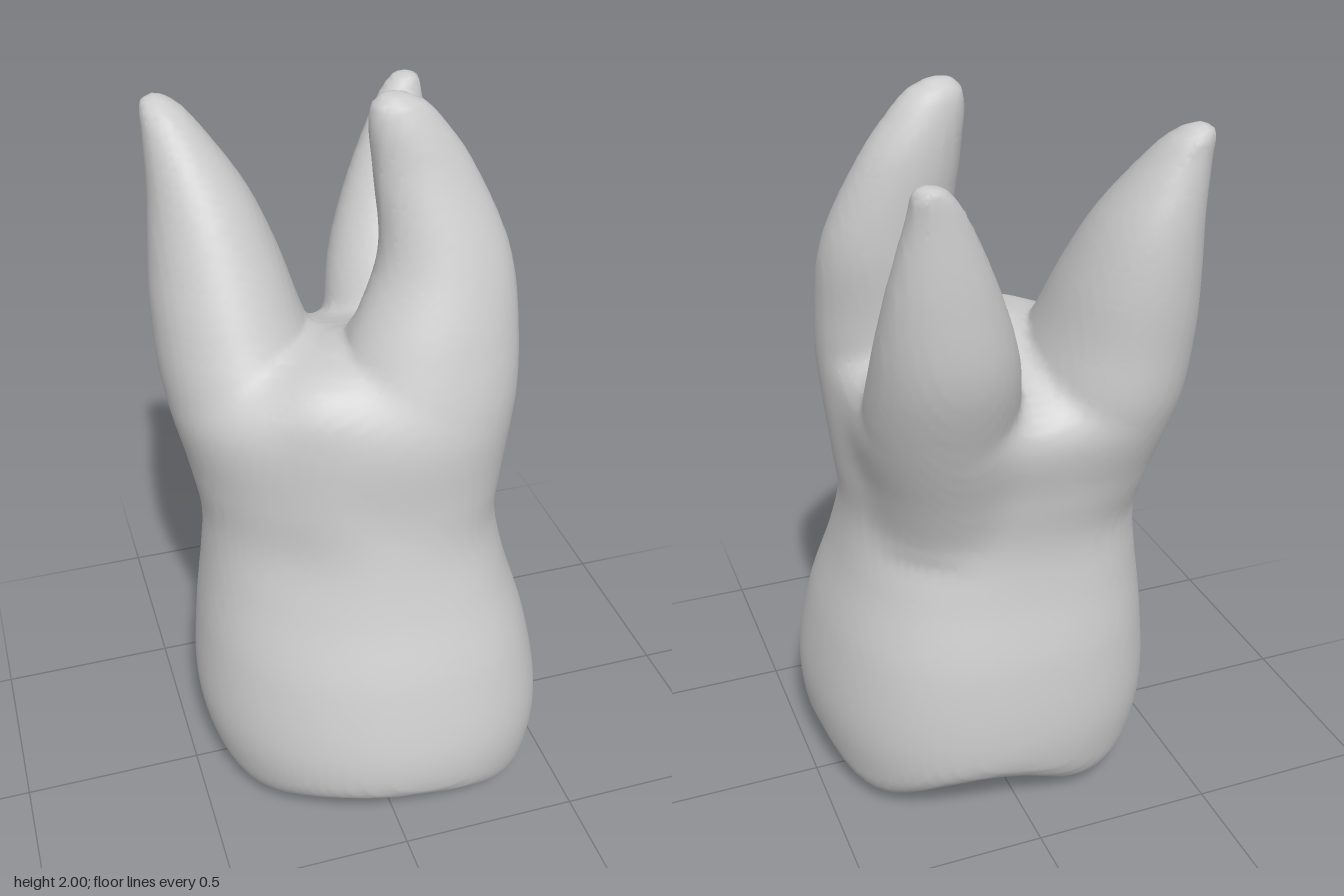
import * as THREE from 'three';

const material = new THREE.MeshStandardMaterial({ color: 0xcccccc, roughness: 0.7 });

// Catmull-Rom interpolation of one scalar
function cubic(a, b, c, d, t) {
  return b + 0.5 * t * (c - a + t * (2 * a - 5 * b + 4 * c - d + t * (3 * (b - c) + d - a)));
}

// Smoothly resample a table of section rows
function refine(rows, steps) {
  const out = [];
  const at = (i) => rows[Math.min(Math.max(i, 0), rows.length - 1)];
  for (let i = 0; i < rows.length - 1; i++) {
    for (let k = 0; k < steps; k++) {
      out.push(rows[i].map((v, n) => cubic(at(i - 1)[n], v, at(i + 1)[n], at(i + 2)[n], k / steps)));
    }
  }
  out.push(rows[rows.length - 1]);
  return out;
}

// The section of a refined table at height y
function sectionAt(rows, y) {
  if (y <= rows[0][0]) return rows[0];
  const i = rows.findIndex((row) => row[0] > y);
  if (i < 0) return rows[rows.length - 1];
  const t = (y - rows[i - 1][0]) / (rows[i][0] - rows[i - 1][0]);
  return rows[i].map((v, n) => THREE.MathUtils.lerp(rows[i - 1][n], v, t));
}

// Minimum with a rounded transition of width k
function smoothMin(a, b, k) {
  const h = Math.max(k - Math.abs(a - b), 0) / k;
  return Math.min(a, b) - h * h * k * 0.25;
}

// Crown, neck and trunk: height, then eight radii from +x towards +z
const TRUNK_TOP = 1.385;
const body = refine([
  [-0.04, 0.425, 0.475, 0.425, 0.4, 0.4, 0.41, 0.375, 0.41],
  [0.1, 0.465, 0.53, 0.48, 0.45, 0.437, 0.45, 0.412, 0.45],
  [0.28, 0.487, 0.55, 0.506, 0.475, 0.468, 0.48, 0.437, 0.472],
  [0.5, 0.457, 0.505, 0.455, 0.435, 0.45, 0.47, 0.42, 0.45],
  [0.7, 0.402, 0.43, 0.38, 0.365, 0.42, 0.443, 0.378, 0.397],
  [0.85, 0.377, 0.385, 0.335, 0.322, 0.406, 0.43, 0.362, 0.365],
  [1.0, 0.383, 0.375, 0.305, 0.315, 0.415, 0.46, 0.38, 0.39],
  [1.18, 0.378, 0.35, 0.285, 0.305, 0.42, 0.48, 0.405, 0.435],
  [1.28, 0.345, 0.28, 0.24, 0.275, 0.33, 0.37, 0.3, 0.355],
  [1.35, 0.2, 0.16, 0.15, 0.19, 0.18, 0.17, 0.12, 0.18],
  [TRUNK_TOP, 0, 0, 0, 0, 0, 0, 0, 0],
], 8);

// Roots: height, centre x, centre z, half width x, half width z
const frontRoot = refine([
  [0.85, 0.1, 0.05, 0.2, 0.2],
  [1.0, 0.11, 0.075, 0.25, 0.215],
  [1.2, 0.14, 0.09, 0.262, 0.215],
  [1.4, 0.187, 0.075, 0.222, 0.175],
  [1.6, 0.223, 0.033, 0.17, 0.138],
  [1.8, 0.182, -0.012, 0.13, 0.098],
  [1.92, 0.137, -0.026, 0.095, 0.07],
  [1.98, 0.112, -0.028, 0.058, 0.043],
  [2.0, 0.1, -0.028, 0, 0],
], 8);
const rightRoot = refine([
  [0.85, -0.2, -0.1, 0.17, 0.18],
  [1.0, -0.23, -0.115, 0.188, 0.24],
  [1.2, -0.255, -0.155, 0.222, 0.285],
  [1.4, -0.29, -0.215, 0.195, 0.24],
  [1.55, -0.306, -0.26, 0.166, 0.2],
  [1.7, -0.33, -0.302, 0.126, 0.15],
  [1.85, -0.378, -0.345, 0.073, 0.082],
  [1.905, -0.402, -0.368, 0.046, 0.05],
  [1.935, -0.412, -0.378, 0, 0],
], 8);
const backRoot = refine([
  [0.85, 0.15, -0.17, 0.14, 0.13],
  [1.0, 0.165, -0.2, 0.165, 0.165],
  [1.2, 0.19, -0.25, 0.192, 0.195],
  [1.4, 0.208, -0.34, 0.18, 0.17],
  [1.6, 0.235, -0.407, 0.136, 0.112],
  [1.8, 0.263, -0.452, 0.07, 0.056],
  [1.87, 0.283, -0.468, 0.038, 0.034],
  [1.89, 0.287, -0.474, 0, 0],
], 8);
const roots = [frontRoot, rightRoot, backRoot];

// Cusps of the chewing surface: x, z, depth below its sunken middle
const cusps = [
  [-0.27, 0.13, 0.167],
  [0.33, 0.27, 0.143],
  [0.365, -0.16, 0.138],
  [-0.2, -0.27, 0.143],
];
function chewingHeight(x, z) {
  return cusps.reduce((y, [cx, cz, depth]) =>
    y - depth * Math.exp(-((x - cx) ** 2 + (z - cz) ** 2) / 0.045), 0.195 - 0.25 * (x * x + z * z));
}

// Signed distance from the outline of the body section
function bodyField(row, x, z) {
  const f = (Math.atan2(z, x) / Math.PI) * 4;
  const i = Math.floor(f);
  const r = (k) => row[1 + ((i + k + 8) % 8)];
  return Math.hypot(x, z) - cubic(r(-1), r(0), r(1), r(2), f - i);
}

// Signed distance from the outline of an elliptical root section
function rootField([, cx, cz, halfX, halfZ], x, z) {
  const rx = Math.max(halfX, 0.002);
  const rz = Math.max(halfZ, 0.002);
  return (Math.hypot((x - cx) / rx, (z - cz) / rz) - 1) * Math.min(rx, rz);
}

// Sampling grid, with x varying fastest, then y, then z
const STEP = 0.02;
const ORIGIN = [-0.56, -0.05, -0.58];
const SIZE = [57, 106, 59];
const STRIDE = [1, SIZE[0], SIZE[0] * SIZE[1]];
const gridPoint = (i, j, k) => i + j * STRIDE[1] + k * STRIDE[2];

// Sample the crown and roots, melted into one solid (negative inside)
function sampleTooth() {
  const field = new Float32Array(SIZE[0] * SIZE[1] * SIZE[2]);
  for (let j = 0; j < SIZE[1]; j++) {
    const y = ORIGIN[1] + j * STEP;
    const trunk = sectionAt(body, y);
    const sections = roots.map((rows) => sectionAt(rows, y));
    for (let k = 0; k < SIZE[2]; k++) {
      for (let i = 0; i < SIZE[0]; i++) {
        const x = ORIGIN[0] + i * STEP;
        const z = ORIGIN[2] + k * STEP;
        let d = Math.max(bodyField(trunk, x, z), y - TRUNK_TOP);
        roots.forEach((rows, n) => {
          const limit = Math.max(rows[0][0] - y, y - rows[rows.length - 1][0]);
          d = smoothMin(d, Math.max(rootField(sections[n], x, z), limit), 0.06);
        });
        field[gridPoint(i, j, k)] = -smoothMin(-d, y - chewingHeight(x, z), 0.1);
      }
    }
  }
  return field;
}

// Skin the sampled solid: one vertex per crossed cell, one quad per crossed edge
function createParts() {
  const field = sampleTooth();
  const positions = [];
  const vertexOf = new Map();
  const crown = [];
  const rootFaces = [];
  for (let k = 0; k < SIZE[2] - 1; k++) {
    for (let j = 0; j < SIZE[1] - 1; j++) {
      for (let i = 0; i < SIZE[0] - 1; i++) {
        const cell = gridPoint(i, j, k);
        const sum = [0, 0, 0];
        let count = 0;
        for (let corner = 0; corner < 8; corner++) {
          const bits = [corner & 1, (corner >> 1) & 1, corner >> 2];
          const from = cell + gridPoint(...bits);
          for (let a = 0; a < 3; a++) {
            if (bits[a]) continue;
            const v0 = field[from];
            const v1 = field[from + STRIDE[a]];
            if (v0 < 0 === v1 < 0) continue;
            for (let n = 0; n < 3; n++) sum[n] += n === a ? v0 / (v0 - v1) : bits[n];
            count++;
          }
        }
        if (!count) continue;
        vertexOf.set(cell, positions.length / 3);
        [i, j, k].forEach((c, n) => positions.push(ORIGIN[n] + (c + sum[n] / count) * STEP));
        for (let a = 0; a < 3; a++) {
          if (field[cell] < 0 === field[cell + STRIDE[a]] < 0) continue;
          const b = STRIDE[(a + 1) % 3];
          const c = STRIDE[(a + 2) % 3];
          const quad = [cell, cell - b, cell - b - c, cell - c].map((id) => vertexOf.get(id));
          if (field[cell] >= 0) quad.reverse();
          const [p, q, r, s] = quad;
          const isCrown = ORIGIN[1] + j * STEP < 0.85;
          (isCrown ? crown : rootFaces).push(p, q, r, p, r, s);
        }
      }
    }
  }

  // Crown and roots share vertices and normals, so no seam shows at the neck
  const whole = new THREE.BufferGeometry();
  whole.setAttribute('position', new THREE.Float32BufferAttribute(positions, 3));
  whole.setIndex([...crown, ...rootFaces]);
  whole.computeVertexNormals();
  return Object.entries({ crown, roots: rootFaces }).map(([name, index]) => {
    const mesh = new THREE.Mesh(whole.clone().setIndex(index), material);
    mesh.name = name;
    return mesh;
  });
}

export function createModel() {
  const tooth = new THREE.Group();
  tooth.name = 'tooth';
  tooth.add(...createParts());
  return tooth;
}
